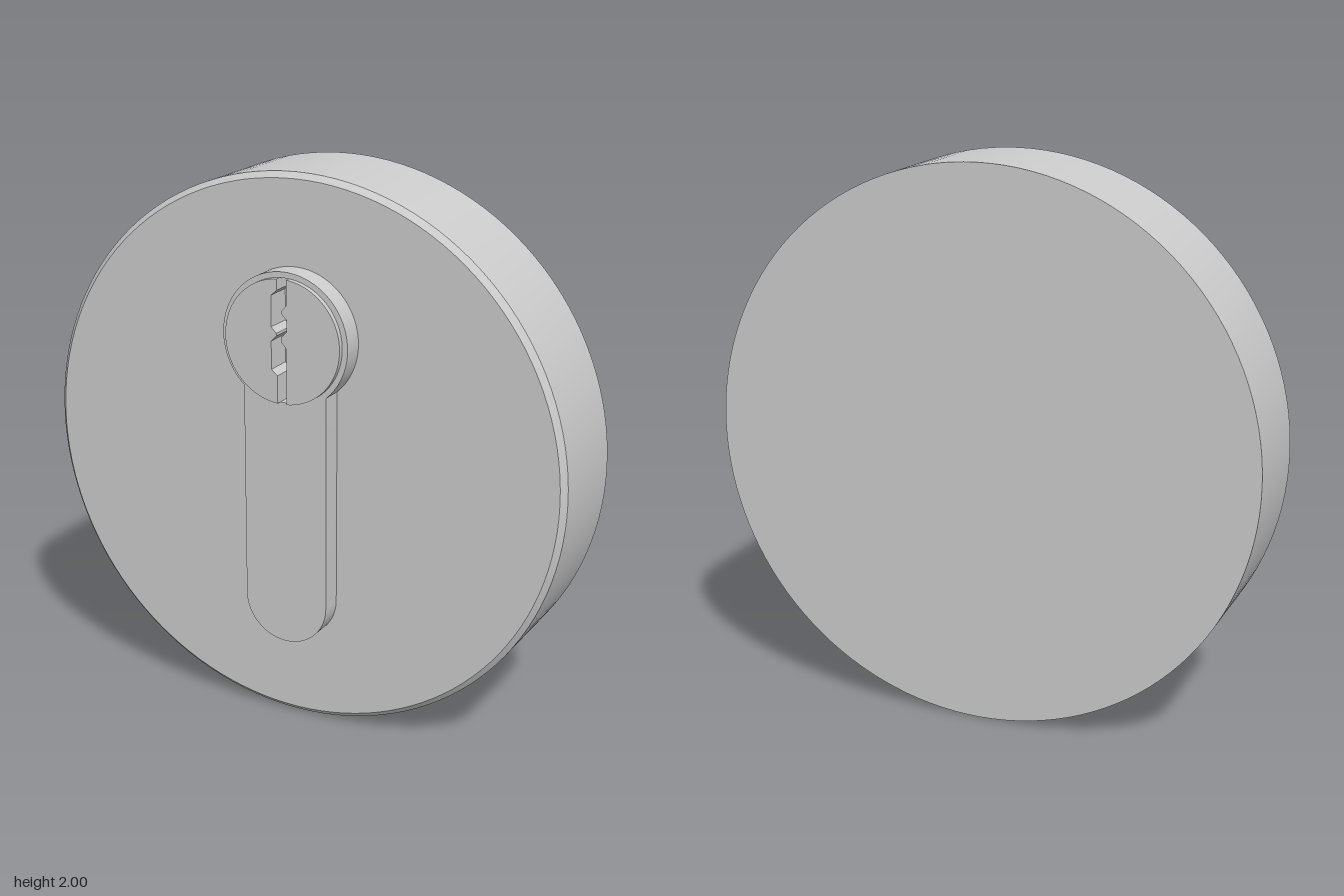
import * as THREE from 'three';
import { toCreasedNormals } from 'three/addons/utils/BufferGeometryUtils.js';

const material = new THREE.MeshStandardMaterial({ color: 0xcccccc });
const PLUG_Y = 1.44, PLUG_R = 0.22, BODY_R = 0.24, STEM = 0.16;
const FACE_Z = 0.15, BODY_Z = 0.23, PLUG_Z = 0.25;

// keyway walls from top to bottom, x and height relative to the plug centre
const keyLeft = [[-0.017, 0.18], [-0.04, 0.16], [-0.04, 0.05], [-0.02, 0.03], [-0.02, 0.02],
  [-0.04, 0], [-0.04, -0.1], [-0.017, -0.12]];
const keyRight = [[0.018, 0.12], [0, 0.1], [0, 0.09], [0.02, 0.07], [0.02, 0.03], [0, 0.01],
  [0, -0.01], [0.018, -0.03]].map(([x, y]) => [x, y + 0.01]);

// add wall end points where they meet the plug rim
function fullWall(wall) {
  const x = wall[0][0], y = Math.sqrt(PLUG_R ** 2 - x * x);
  return [[x, y], ...wall, [x, -y]].map(([px, py]) => new THREE.Vector2(px, py + PLUG_Y));
}

function extrude(name, shape, z0, z1) {
  let geometry = new THREE.ExtrudeGeometry(shape, { depth: z1 - z0, bevelEnabled: false, curveSegments: 64 });
  geometry.translate(0, 0, z0);
  geometry = toCreasedNormals(geometry, 0.5);
  const mesh = new THREE.Mesh(geometry, material);
  mesh.name = name;
  return mesh;
}

// one half of the plug: a wall of the keyway closed by the rim arc
function plugHalf(name, wall, side) {
  const shape = new THREE.Shape(wall);
  const angle = (p) => Math.atan2(p.y - PLUG_Y, p.x);
  shape.absarc(0, PLUG_Y, PLUG_R, angle(wall[wall.length - 1]), angle(wall[0]), side < 0);
  return extrude(name, shape, BODY_Z, PLUG_Z);
}

export function createModel() {
  const model = new THREE.Group();
  model.name = 'lockEscutcheon';

  // round plate with a chamfered front edge
  const profile = [[0, -0.25], [1, -0.25], [1, 0.13], [0.98, FACE_Z], [0, FACE_Z]]
    .map(([r, z]) => new THREE.Vector2(r, z));
  const plateGeometry = new THREE.LatheGeometry(profile, 128).rotateX(Math.PI / 2).translate(0, 1, 0);
  const plate = new THREE.Mesh(toCreasedNormals(plateGeometry, 0.5), material);
  plate.name = 'roundPlate';
  model.add(plate);

  // lock body: round head on a stem with a rounded end, pierced by the keyway
  const left = fullWall(keyLeft), right = fullWall(keyRight);
  const a = Math.acos(STEM / BODY_R);
  const body = new THREE.Shape();
  body.absarc(0, PLUG_Y, BODY_R, -a, Math.PI + a, false);
  body.absarc(0, 0.48, STEM, Math.PI, Math.PI * 2, false);
  body.closePath();
  body.holes.push(new THREE.Path([...left, ...right.slice().reverse()]));
  model.add(extrude('lockBody', body, FACE_Z, BODY_Z));

  // raised plug split by the keyway
  model.add(plugHalf('plugRightHalf', left, -1), plugHalf('plugLeftHalf', right, 1));
  return model;
}
